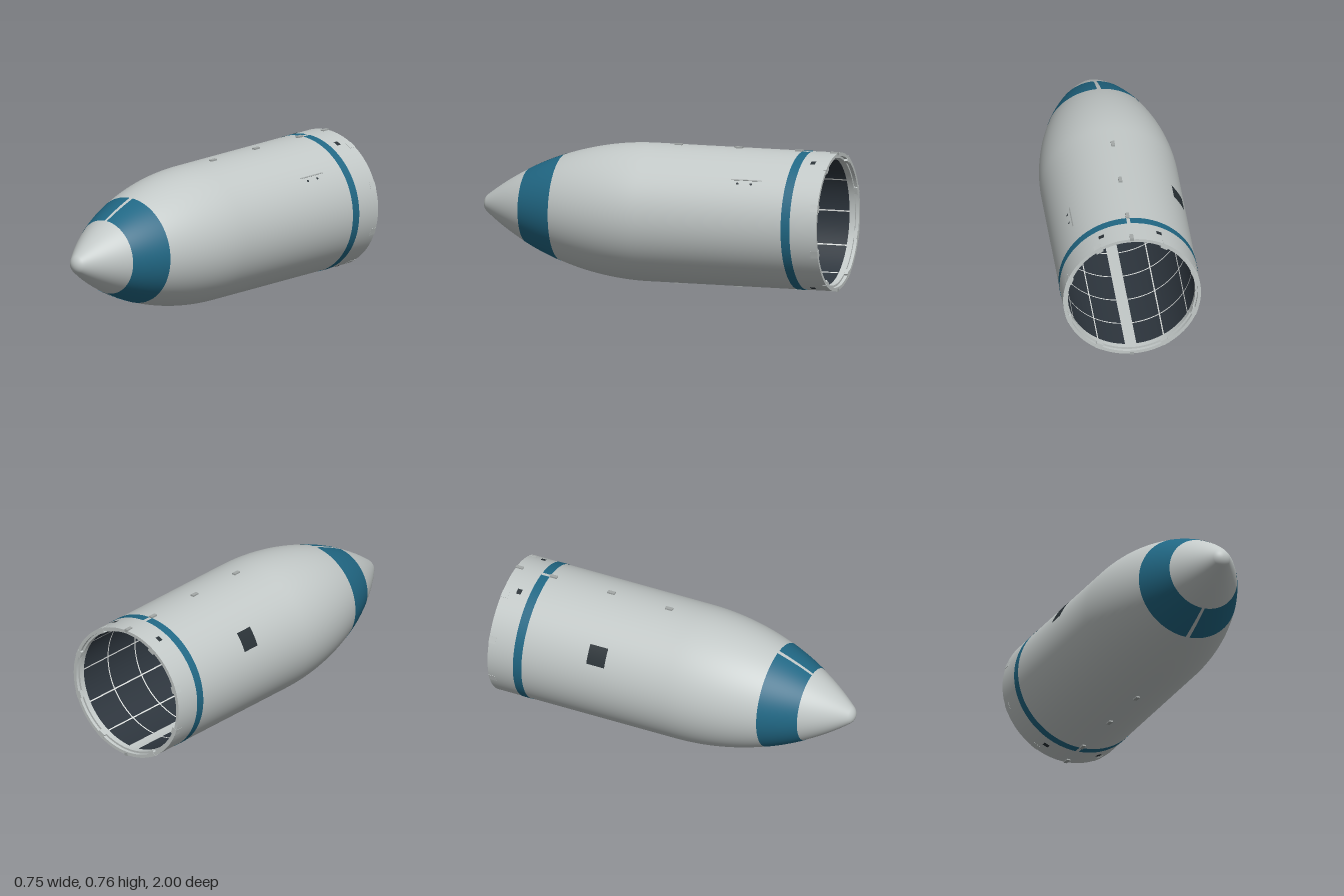
import * as THREE from 'three';

const R = 0.372, AXIS_Y = 0.38, AFT = -1, SHOULDER = 0.045, ARC = 1.5;
const rad = THREE.MathUtils.degToRad;

// Spherical tip tangent to the ogive flank
const TIP_R = 0.049;
const tipD = Math.sqrt(ARC * ARC - (TIP_R - R + ARC) ** 2);
const TIP_Z = SHOULDER + tipD;
const BALL = TIP_R / ((TIP_R - R + ARC) / ARC);
const BALL_Z = TIP_Z - BALL * (tipD / ARC);

// Outer radius at station z
function radiusAt(z) {
  if (z <= SHOULDER) return R;
  if (z < TIP_Z) return R - ARC + Math.sqrt(ARC * ARC - (z - SHOULDER) ** 2);
  return Math.sqrt(Math.max(0, BALL * BALL - (z - BALL_Z) ** 2));
}

// Profile following the hull between two stations, shifted radially
function hullProfile(z0, z1, offset, steps) {
  const pts = [];
  for (let i = 0; i <= steps; i++) {
    const z = z0 + (z1 - z0) * i / steps;
    pts.push(new THREE.Vector2(Math.max(0, radiusAt(z) + offset), z));
  }
  return pts;
}

export function createModel() {
  const model = new THREE.Group();
  model.name = 'payloadFairing';
  const body = new THREE.Group();
  body.name = 'fairingBody';
  body.position.y = AXIS_Y;
  model.add(body);

  const mat = (name, color, side = THREE.FrontSide) => {
    const m = new THREE.MeshStandardMaterial({ color, side });
    m.name = name;
    return m;
  };
  const shellGrey = mat('shell grey', 0xc3c9c8, THREE.DoubleSide);
  const bandBlue = mat('band blue', 0x216885, THREE.DoubleSide);
  const linerDark = mat('liner dark', 0x2d353d, THREE.DoubleSide);
  const ribWhite = mat('rib white', 0xdde0de, THREE.DoubleSide);
  const hatchDark = mat('hatch dark', 0x2a3237, THREE.DoubleSide);
  const fittingGrey = mat('fitting grey', 0xa4a9a8);

  const add = (name, geo, material) => {
    const mesh = new THREE.Mesh(geo, material);
    mesh.name = name;
    body.add(mesh);
    return mesh;
  };
  // Revolved surface along z; angles in degrees from +x towards +y
  const revolve = (name, pts, material, a0 = -90, a1 = 270, segs = 96) =>
    add(name, new THREE.LatheGeometry(pts, segs, rad(a0 + 90), rad(a1 - a0)).rotateX(Math.PI / 2), material);
  // Thin plate hugging the hull
  const plate = (name, z0, z1, a0, a1, material, offset = 0.0015) =>
    revolve(name, hullProfile(z0, z1, offset, 10), material, a0, a1, Math.max(2, Math.ceil((a1 - a0) / 4)));
  // Box seated on the hull: w across, h radial, l along the axis
  const fitting = (name, angle, r, z, w, h, l, material = fittingGrey) => {
    const a = rad(angle);
    const mesh = add(name, new THREE.BoxGeometry(h, w, l), material);
    mesh.position.set(r * Math.cos(a), r * Math.sin(a), z);
    mesh.rotation.z = a;
  };

  // Outer skin: cylinder, ogive, rounded tip
  const skin = [new THREE.Vector2(R, AFT), ...hullProfile(SHOULDER - 0.05, TIP_Z, 0, 36)];
  const startAngle = Math.acos((TIP_Z - BALL_Z) / BALL);
  for (let i = 1; i <= 10; i++) {
    const t = startAngle * (1 - i / 10);
    skin.push(new THREE.Vector2(i === 10 ? 0 : BALL * Math.sin(t), BALL_Z + BALL * Math.cos(t)));
  }
  revolve('outerSkin', skin, shellGrey);

  // Aft rim and inner flange, one crisp face at a time
  const rim = [[R, -1], [0.354, -1], [0.354, -0.982], [0.343, -0.982], [0.343, -0.95], [0.358, -0.95]];
  for (let i = 0; i < rim.length - 1; i++) {
    const pair = [rim[i + 1], rim[i]].map(p => new THREE.Vector2(...p));
    revolve('aftRim', pair, shellGrey);
  }

  // Dark interior liner
  revolve('liner', hullProfile(-0.95, 0.96, -0.015, 60).reverse(), linerDark);

  // Interior ring gaps and lengthwise gaps
  for (let i = 0; i < 8; i++) {
    const z = -0.74 + i * 0.22;
    revolve('linerRing', hullProfile(z - 0.004, z + 0.004, -0.018, 1).reverse(), ribWhite);
  }
  for (let a = 0; a < 360; a += 30) {
    if (a === 90 || a === 270) continue;
    revolve('linerStringer', hullProfile(-0.95, 0.9, -0.018, 40).reverse(), ribWhite, a - 0.6, a + 0.6, 1);
  }
  for (const a of [90, 270])
    revolve('seamStrip', hullProfile(-0.95, 0.9, -0.02, 40).reverse(), shellGrey, a - 5, a + 5, 4);

  // Blue bands, interrupted by the split line at top and bottom
  for (const [z0, z1, r] of [[0.545, 0.745, 0.245], [-0.85, -0.8, R]]) {
    const gap = THREE.MathUtils.radToDeg(0.0095 / r);
    for (const a of [-90, 90]) plate('paintBand', z0, z1, a + gap, a + 180 - gap, bandBlue);
  }

  // Split-line latches along top and bottom
  for (const a of [90, 270])
    for (const z of [-0.1, -0.44, -0.78, -0.98])
      fitting('seamLatch', a, 0.37, z, 0.02, z < -0.9 ? 0.016 : 0.02, 0.042);

  // Separation fittings around the aft rim
  for (const a of [-20, 20, 60, 120, 160, 200, 240, 300])
    fitting('rimFitting', a, 0.358, -0.981, 0.04, 0.03, 0.04, shellGrey);

  // Vent openings near the aft end
  for (const a of [65.4, 114.6, 245.4, 294.6])
    plate('vent', -0.925, -0.898, a - 2.4, a + 2.4, hatchDark, 0.002);

  // Access hatch on the -x side
  plate('accessHatch', -0.43, -0.325, 180 - 38.8, 180 - 22, hatchDark, 0.002);

  // Umbilical strip with two ports on the +x side
  fitting('umbilicalStrip', 41.5, R, -0.575, 0.006, 0.006, 0.17);
  for (const z of [-0.53, -0.605])
    plate('umbilicalPort', z - 0.007, z + 0.007, 37, 38.7, hatchDark, 0.002);

  return model;
}
